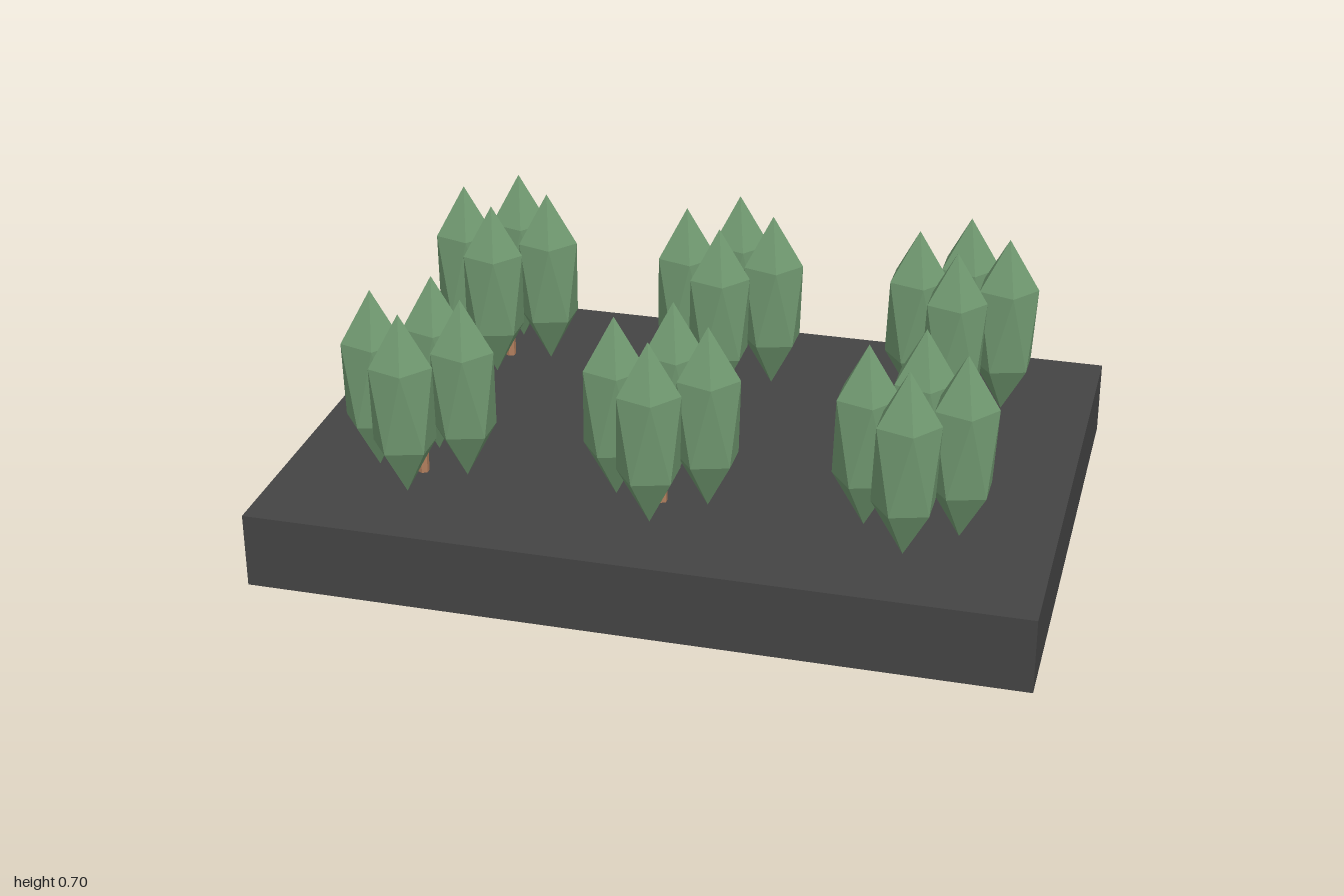
import * as THREE from 'three';

export function createModel() {
  const model = new THREE.Group();
  model.name = 'treePlanter';

  const material = (name, color, flatShading = true) => {
    const m = new THREE.MeshStandardMaterial({ color, flatShading });
    m.name = name;
    return m;
  };
  const slabGrey = material('slabGrey', 0x444444);
  const leafGreen = material('leafGreen', 0x6f976f);
  const barkBrown = material('barkBrown', 0xb07d5c);

  const add = (parent, name, geometry, mat, x, y, z) => {
    const mesh = new THREE.Mesh(geometry, mat);
    mesh.name = name;
    mesh.position.set(x, y, z);
    parent.add(mesh);
  };

  // Ground slab
  add(model, 'baseSlab', new THREE.BoxGeometry(2, 0.2, 1.4), slabGrey, 0, 0.1, 0);

  // Leaf clump: an icosahedron stood on its point, stretched upwards
  const leaf = new THREE.IcosahedronGeometry(1, 0);
  leaf.rotateX(-Math.atan((1 + Math.sqrt(5)) / 2));
  leaf.rotateY(Math.PI / 2);
  leaf.scale(0.094, 0.248, 0.089);

  const trunk = new THREE.CylinderGeometry(0.015, 0.015, 0.2, 6);

  // Two rows of three trees, each with four clumps round a trunk
  for (const z of [-0.36, 0.36]) {
    for (const x of [-0.64, 0, 0.64]) {
      const tree = new THREE.Group();
      tree.name = 'tree';
      tree.position.set(x, 0.2, z);
      add(tree, 'trunk', trunk, barkBrown, 0, 0.1, 0);
      for (const [dx, dz] of [[1, 0], [-1, 0], [0, 1], [0, -1]]) {
        add(tree, 'foliage', leaf, leafGreen, dx * 0.12, 0.252, dz * 0.12);
      }
      model.add(tree);
    }
  }
  return model;
}
